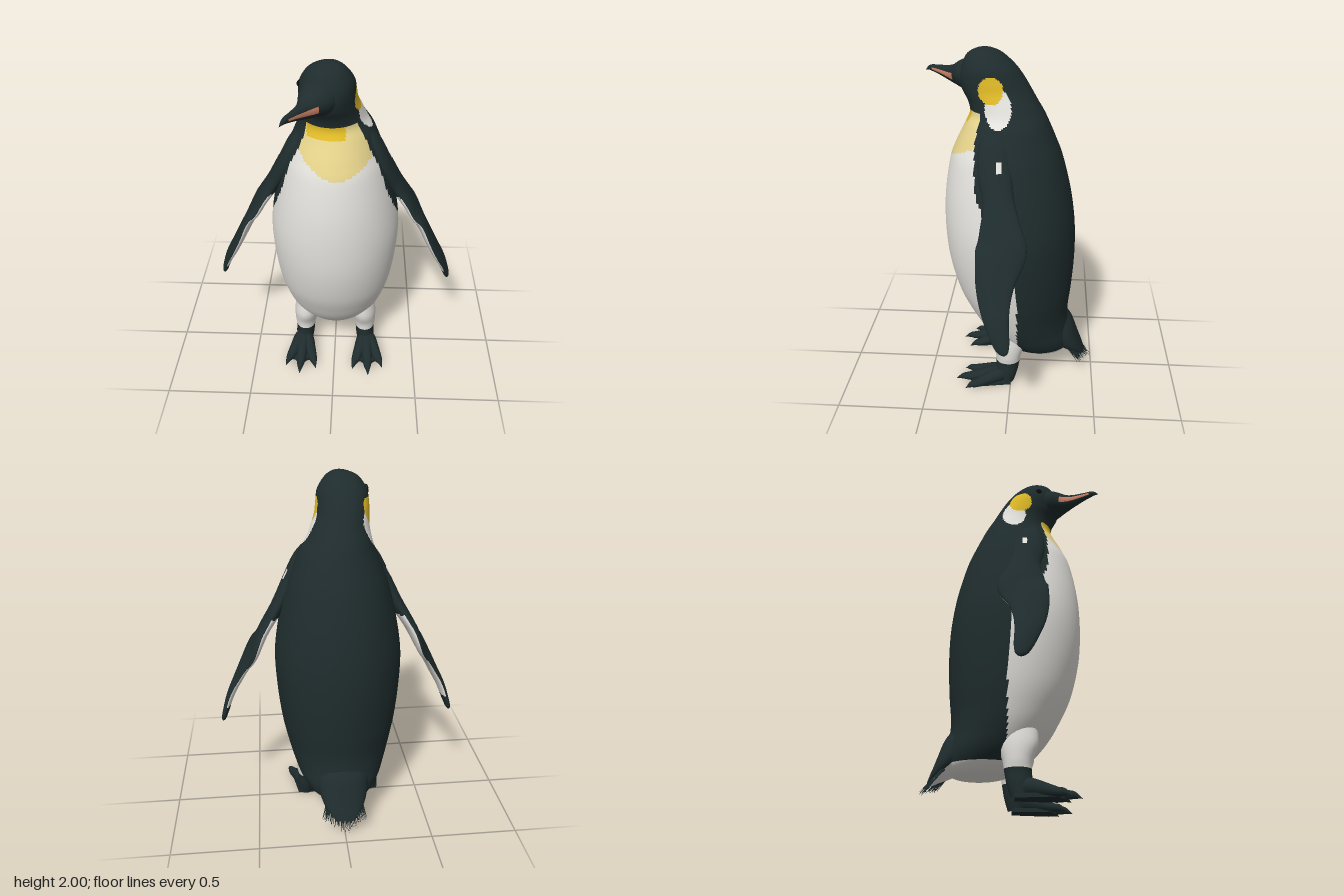
import * as THREE from 'three';
import { mergeGeometries } from 'three/addons/utils/BufferGeometryUtils.js';

const mat = (name, color) => {
  const m = new THREE.MeshStandardMaterial({ color });
  m.name = name;
  return m;
};
const MATS = [
  mat('dark plumage', 0x1f2c2d), mat('white plumage', 0xe4e2dd), mat('pale yellow', 0xe6d48c),
  mat('golden yellow', 0xe2bc28), mat('bill orange', 0xcf8266), mat('eye black', 0x0b1011),
];
const [DARK, WHITE, PALE, GOLD, ORANGE, BLACK] = [0, 1, 2, 3, 4, 5];
const V = (x, y, z) => new THREE.Vector3(x, y, z);

// Catmull-Rom interpolation of whole rows, t in 0..1
function sampleRows(rows, t) {
  const f = t * (rows.length - 1), i = Math.min(Math.floor(f), rows.length - 2), s = f - i;
  const at = (k) => rows[Math.max(0, Math.min(rows.length - 1, k))];
  const [a, b, c, d] = [at(i - 1), at(i), at(i + 1), at(i + 2)];
  return b.map((_, k) => 0.5 * (2 * b[k] + (c[k] - a[k]) * s
    + (2 * a[k] - 5 * b[k] + 4 * c[k] - d[k]) * s * s
    + (3 * b[k] - a[k] - 3 * c[k] + d[k]) * s * s * s));
}

// Elliptical loft: rows are [x, y, z, radiusA, radiusB]; ref is the direction of radiusB.
// pick(point, sine, t) gives the material index of each face.
function loft(name, rows, ref, { tangent, nu = 40, nv = 24, side = 1, pick = () => DARK }) {
  const pos = [], info = [];
  for (let i = 0; i <= nu; i++) {
    const t = i / nu, r = sampleRows(rows, t), c = V(r[0], r[1], r[2]);
    const p = sampleRows(rows, Math.max(0, t - 0.01)), q = sampleRows(rows, Math.min(1, t + 0.01));
    const T = tangent ? tangent.clone() : V(q[0] - p[0], q[1] - p[1], q[2] - p[2]).normalize();
    const A = T.clone().cross(ref).normalize(), B = A.clone().cross(T);
    for (let j = 0; j < nv; j++) {
      const a = (j / nv) * Math.PI * 2;
      const v = c.clone().addScaledVector(A, Math.max(r[3], 0.0005) * Math.cos(a))
        .addScaledVector(B, Math.max(r[4], 0.0005) * Math.sin(a));
      pos.push(v.x * side, v.y, v.z);
      info.push(Math.sin(a));
    }
  }
  const buckets = MATS.map(() => []);
  const pt = (k) => V(pos[3 * k], pos[3 * k + 1], pos[3 * k + 2]);
  for (let i = 0; i < nu; i++) for (let j = 0; j < nv; j++) {
    const a = i * nv + j, d = i * nv + (j + 1) % nv, b = a + nv, c = d + nv;
    const m = pick(pt(a).add(pt(c)).multiplyScalar(0.5), (info[a] + info[d]) / 2, (i + 0.5) / nu);
    buckets[m].push(...(side > 0 ? [a, b, c, a, c, d] : [a, c, b, a, d, c]));
  }
  const g = new THREE.BufferGeometry();
  g.setAttribute('position', new THREE.Float32BufferAttribute(pos, 3));
  g.setIndex(buckets.flat());
  let start = 0;
  buckets.forEach((b, m) => {
    if (b.length) g.addGroup(start, b.length, m);
    start += b.length;
  });
  g.computeVertexNormals();
  const mesh = new THREE.Mesh(g, MATS);
  mesh.name = name;
  return mesh;
}

// Body and head: [y, centre x, half width, front z, back z]
const BODY = [
  [0.14, 0, 0.0, -0.2, -0.2], [0.15, 0, 0.11, -0.06, -0.31], [0.19, 0, 0.18, 0.04, -0.365],
  [0.26, 0, 0.235, 0.115, -0.365], [0.35, 0, 0.272, 0.19, -0.345], [0.45, 0, 0.302, 0.25, -0.338],
  [0.6, 0, 0.335, 0.32, -0.352], [0.8, 0, 0.358, 0.37, -0.363], [1.0, 0, 0.364, 0.387, -0.358],
  [1.2, 0, 0.335, 0.38, -0.33], [1.4, 0, 0.287, 0.347, -0.28], [1.5, 0, 0.25, 0.31, -0.243],
  [1.6, 0, 0.208, 0.26, -0.2], [1.66, -0.01, 0.178, 0.233, -0.17], [1.72, -0.018, 0.16, 0.243, -0.133],
  [1.78, -0.03, 0.15, 0.275, -0.097], [1.84, -0.035, 0.146, 0.287, -0.06], [1.9, -0.035, 0.135, 0.275, -0.015],
  [1.96, -0.035, 0.095, 0.245, 0.05], [1.99, -0.025, 0.045, 0.195, 0.105], [2.0, -0.02, 0.0, 0.15, 0.15],
].map(([y, cx, hw, zf, zb]) => [cx, y, (zf + zb) / 2, hw, (zf - zb) / 2]);

// Front limit of the dark back, as [y, z]
const FLANK = [[0, -0.04], [0.6, -0.04], [0.95, -0.02], [1.2, 0.15], [1.3, 0.19], [1.55, 0.19], [1.66, 0.165], [3, 0.15]];
function flankZ(y) {
  const i = FLANK.findIndex((f) => f[0] > y), [a, b] = [FLANK[i - 1], FLANK[i]];
  return a[1] + (b[1] - a[1]) * (y - a[0]) / (b[0] - a[0]);
}
const inOval = (u, v, ru, rv) => (u / ru) ** 2 + (v / rv) ** 2 < 1;

function bodyColour({ x, y, z }) {
  const ez = x > 0 ? z : z + 0.07; // the turned head shifts the ear patches
  if (Math.abs(x) > 0.06 && y > 1.6) {
    if (inOval(ez - 0.11, y - 1.8, 0.066, 0.07)) return GOLD;
    if (inOval(ez - 0.07, y - 1.71, 0.07, 0.095)) return WHITE;
  }
  if (y > 1.68) return DARK;
  if (y < 0.2) return WHITE;
  if (z < flankZ(y)) return DARK;
  if (y > 1.615 && Math.abs(x + 0.04) < 0.1) return GOLD;
  return y > 1.43 + 2.6 * (x - 0.02) ** 2 ? PALE : WHITE;
}

// Flipper rows: [x, y, front z, back z, half thickness]
const WING = [
  [0.15, 1.62, 0.13, 0.02, 0.02], [0.2, 1.53, 0.165, -0.0, 0.045], [0.26, 1.41, 0.17, -0.01, 0.046],
  [0.335, 1.27, 0.14, -0.03, 0.04], [0.41, 1.15, 0.15, -0.07, 0.034], [0.465, 1.05, 0.167, -0.1, 0.032],
  [0.53, 0.93, 0.165, -0.05, 0.03], [0.585, 0.82, 0.145, -0.025, 0.027], [0.635, 0.72, 0.11, -0.02, 0.023],
  [0.67, 0.62, 0.065, -0.025, 0.018], [0.685, 0.575, 0.03, -0.02, 0.012], [0.69, 0.56, 0.0, 0.0, 0.0],
].map(([x, y, zf, zb, t]) => [x, y, (zf + zb) / 2, (zf - zb) / 2, t]);

function wingColour({ y, z }, s) {
  if (s > 0.2 && inOval(z - 0.055, y - 1.45, 0.018, 0.032)) return WHITE;
  return s < 0 && y < 1.21 && y > 0.66 ? WHITE : DARK;
}

function makeFoot(side) {
  const foot = new THREE.Group();
  foot.name = side > 0 ? 'leftLeg' : 'rightLeg';
  const up = V(0, 1, 0);
  foot.add(loft('shank', [
    [0.2, 0.01, 0.03, 0.05, 0.05], [0.195, 0.08, 0.025, 0.057, 0.066], [0.19, 0.14, 0.018, 0.058, 0.07],
    [0.188, 0.2, 0.015, 0.068, 0.078], [0.178, 0.29, 0.015, 0.078, 0.11], [0.16, 0.4, 0.0, 0.08, 0.12],
  ], V(0, 0, 1), { tangent: up, side, pick: (p) => (p.y > 0.155 ? WHITE : DARK) }));
  // Toes end in narrow claws
  const tips = [[0.305, 0.27], [0.215, 0.335], [0.115, 0.29]];
  for (const [tx, tz] of tips) {
    const at = (k, y, ra, rb) => [0.2 + (tx - 0.2) * k, y, 0.01 + (tz - 0.01) * k, ra, rb];
    foot.add(loft('toe', [
      at(0, 0.06, 0.03, 0.045), at(0.25, 0.058, 0.04, 0.046), at(0.5, 0.042, 0.034, 0.036),
      at(0.75, 0.026, 0.026, 0.024), at(0.87, 0.023, 0.016, 0.019), at(1, 0.006, 0.0, 0.0),
    ], up, { side, nu: 20, nv: 14 }));
  }
  // Webbing between the toes
  const shape = new THREE.Shape([[0.15, 0], [0.25, 0], [0.285, 0.21], [0.25, 0.22], [0.215, 0.26], [0.17, 0.22], [0.125, 0.22]]
    .map(([x, z]) => new THREE.Vector2(x * side, z)));
  const web = new THREE.Mesh(new THREE.ExtrudeGeometry(shape, { depth: 0.022, bevelEnabled: false })
    .rotateX(Math.PI / 2).translate(0, 0.024, 0), MATS[DARK]);
  web.name = 'web';
  foot.add(web);
  return foot;
}

function makeTail() {
  const tail = new THREE.Group();
  tail.name = 'tail';
  tail.add(loft('tailBase', [
    [0, 0.37, -0.22, 0.16, 0.1], [0, 0.28, -0.29, 0.15, 0.1], [0, 0.2, -0.36, 0.125, 0.062],
    [0, 0.15, -0.41, 0.09, 0.03], [0, 0.11, -0.445, 0.05, 0.008],
  ], V(0, 1, -0.3), { nu: 24, nv: 32, pick: (p, s) => (s < -0.35 ? WHITE : DARK) }));
  // Stiff feather spikes, longest in the middle
  let seed = 7;
  const rnd = () => (seed = (seed * 16807) % 2147483647) / 2147483647;
  const spikes = [];
  for (let i = 0; i < 70; i++) {
    const k = (i % 35) / 17 - 1, low = i < 35 ? 0 : 0.02;
    const root = V(k * 0.1, 0.2 - low, -0.37 + 0.02 * k * k);
    const reach = (1 - 0.6 * Math.abs(k)) * (0.75 + 0.25 * rnd());
    const tip = V(k * 0.13 + (rnd() - 0.5) * 0.012, 0.13 - 0.07 * reach - low * 0.5, -0.37 - 0.135 * reach);
    const dir = tip.clone().sub(root), len = dir.length();
    spikes.push(new THREE.ConeGeometry(0.006, len, 5).translate(0, len / 2, 0)
      .applyQuaternion(new THREE.Quaternion().setFromUnitVectors(V(0, 1, 0), dir.normalize()))
      .translate(root.x, root.y, root.z));
  }
  const feathers = new THREE.Mesh(mergeGeometries(spikes), MATS[DARK]);
  feathers.name = 'tailFeathers';
  tail.add(feathers);
  return tail;
}

function makeEye(name, x, y, z) {
  const eye = new THREE.Group();
  eye.name = name;
  const ball = new THREE.Mesh(new THREE.SphereGeometry(0.02, 20, 14), MATS[BLACK]);
  const lid = new THREE.Mesh(new THREE.TorusGeometry(0.024, 0.006, 8, 24), MATS[DARK]);
  ball.name = 'eyeball';
  lid.name = 'eyelid';
  eye.add(ball, lid);
  eye.position.set(x, y, z);
  eye.lookAt(x + (x + 0.035), y + 0.03, z + (z - 0.12));
  return eye;
}

export function createModel() {
  const penguin = new THREE.Group();
  penguin.name = 'penguin';
  penguin.add(loft('body', BODY, V(0, 0, 1), { tangent: V(0, 1, 0), nu: 180, nv: 140, pick: bodyColour }));

  // Bill, turned with the head, with a coloured stripe on each side
  penguin.add(loft('bill', [
    [-0.05, 1.84, 0.17, 0.11, 0.1], [-0.088, 1.84, 0.25, 0.095, 0.085], [-0.125, 1.83, 0.315, 0.055, 0.056],
    [-0.15, 1.83, 0.36, 0.034, 0.04], [-0.185, 1.836, 0.42, 0.02, 0.026], [-0.217, 1.838, 0.472, 0.012, 0.016],
    [-0.238, 1.822, 0.505, 0.0, 0.0],
  ], V(0, 1, 0), { nu: 60, nv: 48, pick: (p, s, t) => (t > 0.3 && t < 0.78 && s < 0.2 && s > -0.35 ? ORANGE : DARK) }));
  penguin.add(makeEye('leftEye', 0.03, 1.88, 0.232), makeEye('rightEye', -0.165, 1.88, 0.15));

  for (const side of [1, -1]) {
    penguin.add(loft(side > 0 ? 'leftFlipper' : 'rightFlipper', WING, V(1, 0, 0), { side, nu: 100, nv: 40, pick: wingColour }));
    penguin.add(makeFoot(side));
  }
  penguin.add(makeTail());
  return penguin;
}
